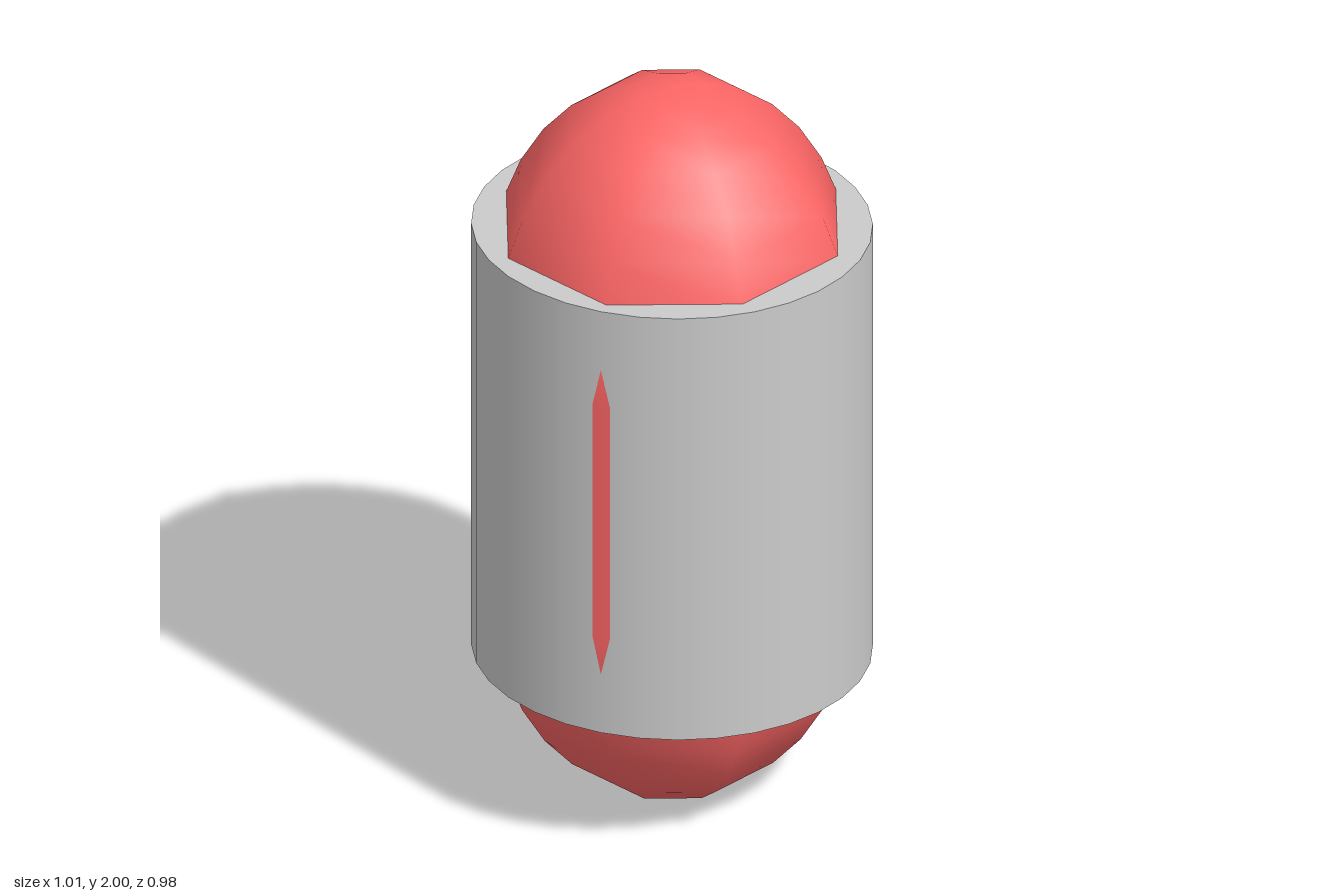
import * as THREE from 'three';

export function createModel() {
  const group = new THREE.Group();

  // Eight-sided capsule core, squeezed sideways so its caps are elliptical
  const core = new THREE.Mesh(
    new THREE.CapsuleGeometry(2 / 3, 2 / 3, 8, 8),
    new THREE.MeshStandardMaterial({ color: 0xff6666 })
  );
  core.name = 'capsuleCore';
  core.scale.set(0.735, 1, 0.735);
  core.position.y = 1;
  group.add(core);

  // Slightly oval sleeve; the core's front and back edges just break through it
  const sleeve = new THREE.Mesh(
    new THREE.CylinderGeometry(1, 1, 1.21, 32),
    new THREE.MeshStandardMaterial({ color: 0xcccccc })
  );
  sleeve.name = 'sleeve';
  sleeve.scale.set(0.506, 1, 0.4825);
  sleeve.position.y = 1;
  group.add(sleeve);

  return group;
}
